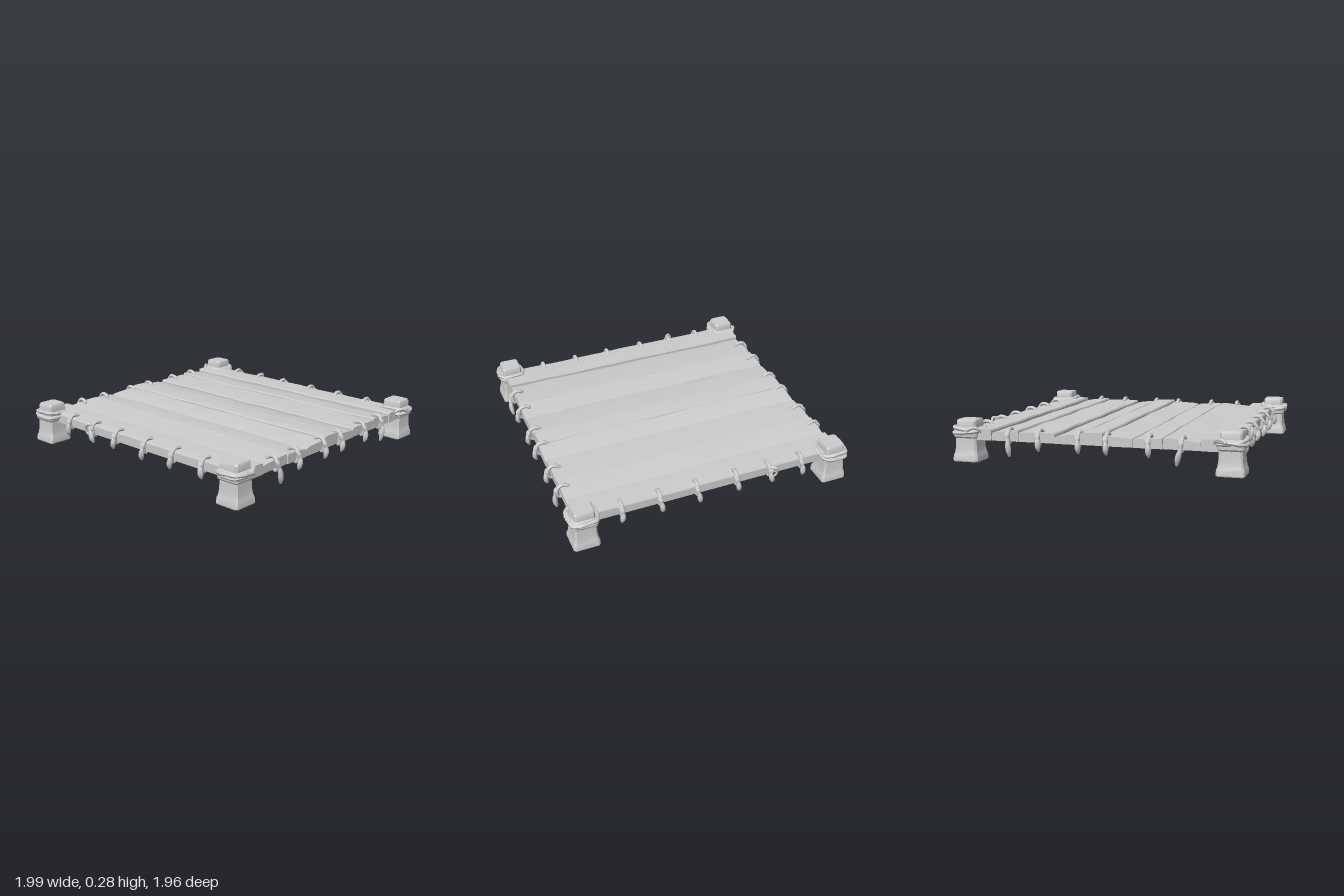
import * as THREE from 'three';
import { toCreasedNormals, mergeVertices } from 'three/addons/utils/BufferGeometryUtils.js';

const material = new THREE.MeshStandardMaterial({ color: 0xcccccc, side: THREE.DoubleSide });
const V = (x, y, z) => new THREE.Vector3(x, y, z);

function add(parent, name, geometry) {
  const mesh = new THREE.Mesh(geometry, material);
  mesh.name = name;
  parent.add(mesh);
  return mesh;
}

// Tube whose radius follows a rule along its length, with closed ends
function ropeGeometry(points, radius, rule = () => 1, closed = false, segments = 28) {
  const curve = new THREE.CatmullRomCurve3(points, closed);
  const sides = 8;
  const geo = new THREE.TubeGeometry(curve, segments, radius, sides, closed);
  const pos = geo.attributes.position;
  const p = V(0, 0, 0);
  for (let i = 0; i < pos.count; i++) {
    const t = Math.floor(i / (sides + 1)) / segments;
    const c = curve.getPointAt(t);
    const k = !closed && (t === 0 || t === 1) ? 0 : rule(t);
    p.fromBufferAttribute(pos, i).sub(c).multiplyScalar(k).add(c);
    pos.setXYZ(i, p.x, p.y, p.z);
  }
  geo.computeVertexNormals();
  return geo;
}

// One plank along x, its top running from height h1 (front) to h0 (back)
function plankGeometry(zFront, zBack, h1, h0, seed) {
  const e = 0.006, mid = (zFront + zBack) / 2;
  const shape = new THREE.Shape([
    [-zFront, 0.145], [-zBack, 0.145], [-zBack, h0 - 0.012], [-zBack - e, h0 - 0.002],
    [-(mid + zBack) / 2, h0 * 0.7 + h1 * 0.3], [-(mid + zFront) / 2, h0 * 0.3 + h1 * 0.7],
    [-zFront + e, h1 - 0.002], [-zFront, h1 - 0.012],
  ].map(([x, y]) => new THREE.Vector2(x, y)));
  const length = 1.876 + 0.008 * Math.sin(seed * 2.3);
  const geo = new THREE.ExtrudeGeometry(shape, { depth: length, steps: 20, bevelEnabled: false });
  geo.translate(0, 0, -length / 2).rotateY(Math.PI / 2);
  // Gentle wear on the top surface
  const pos = geo.attributes.position;
  for (let i = 0; i < pos.count; i++) {
    const x = pos.getX(i), y = pos.getY(i), z = pos.getZ(i);
    if (y > 0.16) pos.setY(i, y + 0.002 * Math.sin(x * 7 + seed * 1.7) + 0.0015 * Math.sin(x * 17 + z * 30 + seed));
  }
  return toCreasedNormals(geo, 0.45);
}

// Square post lofted from [height, half width] sections with chamfered corners
function postGeometry() {
  const sections = [[0, 0.086], [0.006, 0.089], [0.04, 0.087], [0.055, 0.081], [0.09, 0.076], [0.155, 0.073],
    [0.165, 0.082], [0.185, 0.084], [0.215, 0.082], [0.225, 0.069], [0.265, 0.068], [0.276, 0.062]];
  const pos = [], index = [];
  for (const [y, h] of sections) {
    const c = h - 0.012;
    for (const [x, z] of [[h, c], [c, h], [-c, h], [-h, c], [-h, -c], [-c, -h], [c, -h], [h, -c]]) pos.push(x, y, z);
  }
  const top = (sections.length - 1) * 8;
  for (let r = 0; r < top; r += 8) {
    for (let i = 0; i < 8; i++) {
      const j = (i + 1) % 8;
      index.push(r + i, r + 8 + i, r + j, r + j, r + 8 + i, r + 8 + j);
    }
  }
  for (let i = 1; i < 7; i++) index.push(0, i, i + 1, top, top + i + 1, top + i);
  const geo = new THREE.BufferGeometry();
  geo.setAttribute('position', new THREE.Float32BufferAttribute(pos, 3));
  geo.setIndex(index);
  return toCreasedNormals(geo, 0.5);
}

// Closed rope loop around a post, tilted and rounded square in plan
function loopGeometry(r, y, tilt, phase) {
  const pts = [];
  for (let i = 0; i < 16; i++) {
    const a = (i / 16) * Math.PI * 2;
    const c = Math.cos(a), s = Math.sin(a);
    const k = r / Math.pow(c ** 4 + s ** 4, 0.25);
    pts.push(V(c * k, y + tilt * Math.sin(a + phase), s * k));
  }
  return ropeGeometry(pts, 0.014, (t) => 1 + 0.12 * Math.sin(t * Math.PI * 16), true, 64);
}

// Rope tie over the deck edge; local +z points out and the edge is at z = 0
function buildTie(tail, lean, curl) {
  const tie = new THREE.Group();
  tie.name = 'ropeTie';
  add(tie, 'strap', ropeGeometry([
    V(-lean * 0.3, 0.2, -0.065), V(0, 0.221, -0.045), V(0, 0.226, -0.008), V(0, 0.205, 0.016),
    V(lean * 0.2, 0.17, 0.018), V(lean * 0.3, 0.142, 0.008), V(0, 0.138, -0.015),
  ], 0.013));
  add(tie, 'tail', ropeGeometry([
    V(-0.01, 0.215, 0.006), V(-0.012, 0.195, 0.028), V(lean * 0.1, 0.165, 0.034),
    V(lean * 0.6, (0.165 + tail) / 2, 0.034), V(lean, tail, 0.024),
  ], 0.016, (t) => 0.65 + 0.5 * Math.sin(t * 5.2 + 4.4) * (t > 0.4 ? 1 : 0.3) - 0.35 * Math.max(0, t - 0.8) * 5 * 0.5));
  const knot = add(tie, 'knot', mergeVertices(new THREE.SphereGeometry(0.017, 10, 8)));
  knot.scale.set(0.9, 1.3, 0.9);
  knot.position.set(0, 0.185, 0.024);
  if (curl) {
    add(tie, 'curl', ropeGeometry([
      V(0, 0.215, 0.015), V(-0.028, 0.218, 0.038), V(-0.045, 0.185, 0.036),
      V(-0.035, 0.15, 0.03), V(-0.012, 0.15, 0.03),
    ], 0.012, (t) => 1 - 0.4 * t));
  }
  return tie;
}

export function createModel() {
  const model = new THREE.Group();
  model.name = 'plankPlatform';

  // Deck: plank joints from front to back, with front and back top heights
  const deck = new THREE.Group();
  deck.name = 'deck';
  model.add(deck);
  const joints = [0.885, 0.69, 0.45, 0.26, 0.06, -0.09, -0.26, -0.51, -0.7, -0.89];
  const heights = [[0.214, 0.219], [0.197, 0.216], [0.214, 0.2], [0.198, 0.213], [0.226, 0.221],
    [0.218, 0.194], [0.211, 0.21], [0.22, 0.198], [0.218, 0.214]];
  heights.forEach(([h1, h0], i) => {
    add(deck, 'plank', plankGeometry(joints[i] - 0.002, joints[i + 1] + 0.002, h1, h0, i + 1));
  });
  // Thin board closing the underside
  add(deck, 'underside', new THREE.BoxGeometry(1.86, 0.03, 1.765)).position.set(0, 0.16, -0.002);

  // Corner posts with rope wrapping
  const post = postGeometry();
  const loops = [loopGeometry(0.089, 0.2, 0.012, 0.6), loopGeometry(0.086, 0.208, 0.016, 3.4)];
  for (const sx of [-1, 1]) {
    for (const sz of [-1, 1]) {
      const corner = new THREE.Group();
      corner.name = 'cornerPost';
      corner.position.set(sx * 0.885, 0, sz * 0.877);
      corner.rotation.y = sx * sz > 0 ? 0 : Math.PI;
      add(corner, 'post', post);
      loops.forEach((g) => add(corner, 'ropeLoop', g));
      model.add(corner);
      // Loose rope end beside the post
      add(model, 'ropeEnd', ropeGeometry([
        V(sx * 0.985, 0.205, sz * 0.86), V(sx * 0.975, 0.225, sz * 0.82),
        V(sx * 0.95, 0.215, sz * 0.785), V(sx * 0.93, 0.19, sz * 0.77),
      ], 0.013, (t) => 1 - 0.3 * t));
    }
  }

  // Ties along the front and back edges
  [-0.65, -0.41, -0.17, 0.11, 0.37, 0.63].forEach((x, i) => {
    for (const s of [-1, 1]) {
      const tie = buildTie(0.085 + 0.006 * (i % 3), [-0.008, 0.02, -0.012, -0.015, -0.012, 0.008][i] * s, i === 1);
      tie.position.set(x, 0, s > 0 ? 0.885 : -0.89);
      if (s < 0) {
        tie.rotation.y = Math.PI;
        if (i === 1) tie.scale.x = -1;
      }
      model.add(tie);
    }
  });

  // Ties along the left and right edges, with longer tails near the ends
  [-0.575, -0.365, -0.095, 0.09, 0.365, 0.575].forEach((z, i) => {
    for (const s of [-1, 1]) {
      const long = i === 0 || i === 5;
      const lean = (long ? (i === 0 ? 0.012 : -0.03) : 0.004) * -s;
      const tie = buildTie(long ? 0.045 : 0.09, lean, false);
      tie.position.set(s * 0.938, 0, z);
      tie.rotation.y = (s * Math.PI) / 2;
      model.add(tie);
    }
  });

  return model;
}
